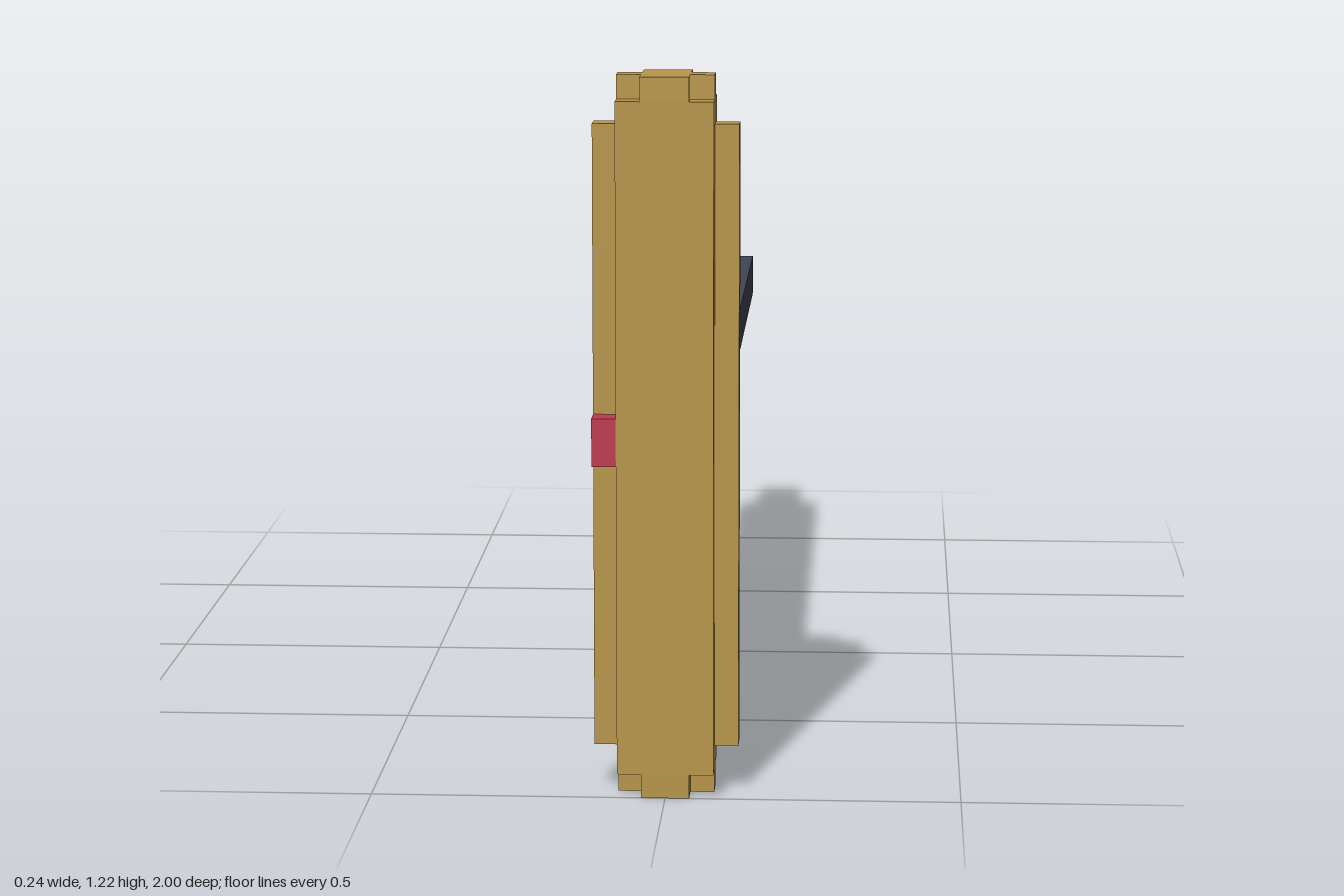
import * as THREE from 'three';

const U = 2 / 49; // one block unit; lengths below are counted in blocks
const zAt = (n) => 1 - n * U; // n blocks back from the front

const paint = (name, color) => {
  const m = new THREE.MeshStandardMaterial({ color });
  m.name = name;
  return m;
};

export function createModel() {
  const gold = paint('gold', 0xb8964a);
  const steel = paint('light steel', 0xa9adb6);
  const slate = paint('slate', 0x727b8a);
  const dark = paint('dark iron', 0x404556);
  const red = paint('red', 0xbf394e);

  const model = new THREE.Group();
  model.name = 'bladeAndGuard';

  const add = (name, geometry, material, parent = model) => {
    const mesh = new THREE.Mesh(geometry, material);
    mesh.name = name;
    parent.add(mesh);
    return mesh;
  };
  // Box from block ranges: x, y, and n (blocks back from the front)
  const box = (name, material, [x0, x1], [y0, y1], [n0, n1], parent) => {
    const g = new THREE.BoxGeometry((x1 - x0) * U, (y1 - y0) * U, (n1 - n0) * U);
    g.translate((x0 + x1) / 2 * U, (y0 + y1) / 2 * U, zAt((n0 + n1) / 2));
    return add(name, g, material, parent);
  };
  // Slab from a side outline of [n, y] blocks, centred on x
  const slab = (outline, width) => {
    const shape = new THREE.Shape(outline.map(([n, y]) => new THREE.Vector2(zAt(n), y * U)));
    const g = new THREE.ExtrudeGeometry(shape, { depth: width, bevelEnabled: false });
    g.translate(0, 0, -width / 2);
    return g.rotateY(-Math.PI / 2);
  };

  // Guard: tall bar with plus-shaped ends
  const guard = new THREE.Group();
  guard.name = 'guard';
  model.add(guard);
  box('guardBar', gold, [-2, 2], [1, 29], [0, 3], guard);
  for (const [y0, y1] of [[0, 1], [29, 30]]) {
    box('guardEnd', gold, [-1, 1], [y0, y1], [0, 3], guard);
    for (const s of [-2, 1]) box('guardEndSide', gold, [s, s + 1], [y0, y1], [1, 2], guard);
  }
  // Side rails; the right one is interrupted by the gem
  box('leftRail', gold, [2, 3], [2, 28], [1, 2], guard);
  box('rightRailLower', gold, [-3, -2], [2, 14], [1, 2], guard);
  box('rightRailUpper', gold, [-3, -2], [16, 28], [1, 2], guard);

  // Gem block with a pale patch low on its back
  box('gem', red, [-3, -2], [14, 16], [0, 3]);
  box('gemPatch', steel, [-3, -2], [14, 15], [3, 3.08]);

  // Stepped blade
  add('blade', slab([
    [3, 10], [6, 10], [6, 11], [40, 11], [40, 12], [43, 12], [43, 13], [45, 13], [45, 14], [49, 14],
    [49, 16], [45, 16], [45, 17], [42, 17], [42, 18], [40, 18], [40, 19], [6, 19], [6, 20], [3, 20],
  ], 2 * U), steel);

  // Slate inlay on both blade faces
  add('bladeInlay', slab([
    [3, 11], [5.5, 11], [6.2, 12], [39.5, 12], [40.2, 13], [42.5, 13], [43, 13.6], [43, 16],
    [42.2, 16.4], [41.7, 17], [40.2, 17], [39.5, 18], [6.2, 18], [5.5, 19], [3, 19],
  ], 2 * U + 0.006), slate);

  // Raised ridge, prongs and lower lug on each side of the blade
  for (const s of [-1, 1]) {
    const x = s > 0 ? [1, 2] : [-2, -1];
    box('ridgeUpper', dark, x, [15, 16], [3, 45]);
    box('ridgeLower', dark, x, [14, 15], [9, 45]);
    box('upperProng', gold, x, [16, 17], [3, 9]);
    box('lowerProng', gold, x, [14, 15], [3, 9]);
    box('lowerLug', dark, x, [13, 14], [3, 7]);
  }

  return model;
}
